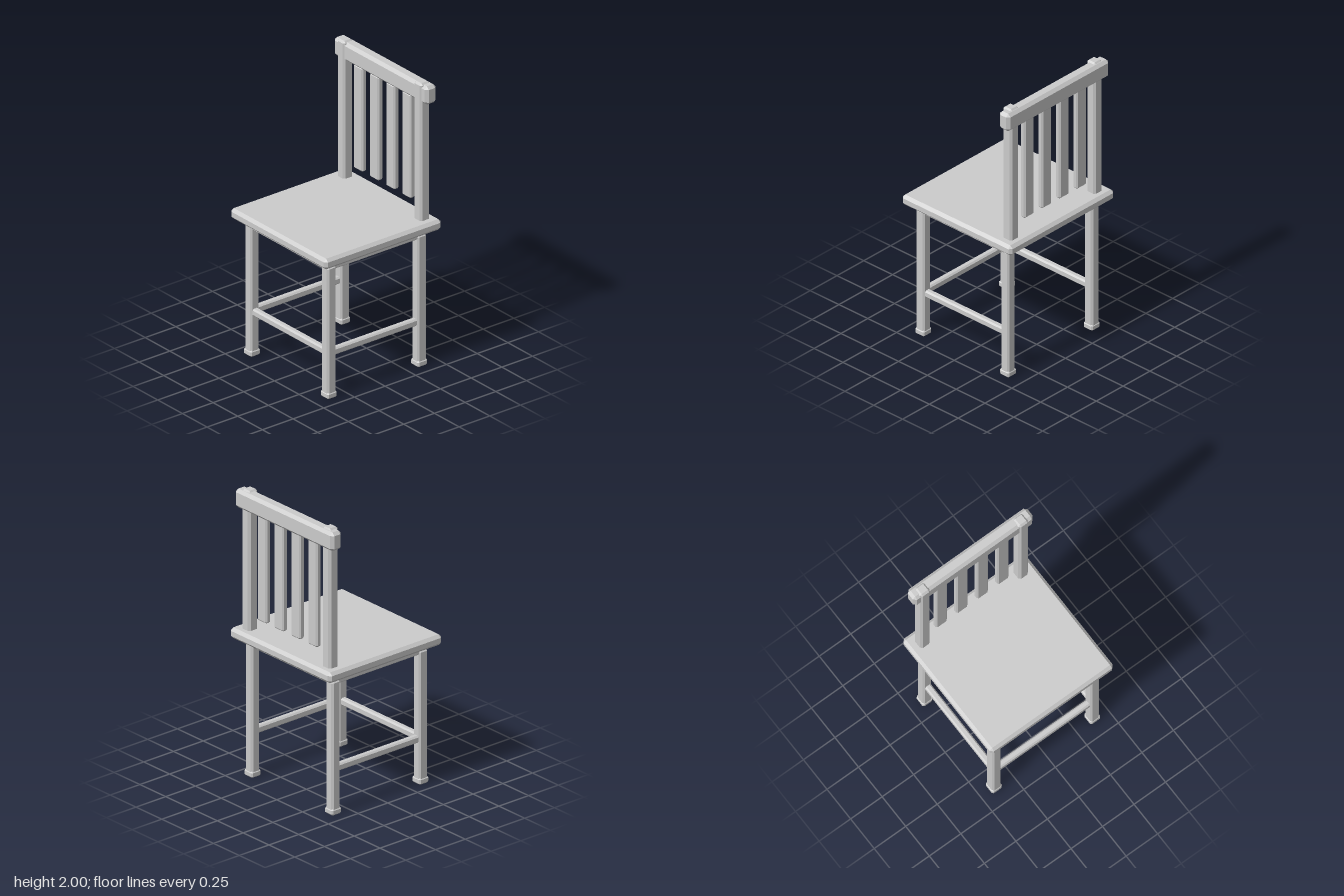
import * as THREE from 'three';
import { ConvexGeometry } from 'three/addons/geometries/ConvexGeometry.js';

const material = new THREE.MeshStandardMaterial({ color: 0xcccccc, flatShading: true });

// Box with bevelled edges, given by its min/max on each axis and the bevel width
function bevelBox(name, [x0, x1], [y0, y1], [z0, z1], bevel) {
  const half = [(x1 - x0) / 2, (y1 - y0) / 2, (z1 - z0) / 2];
  const points = [];
  for (const sx of [-1, 1]) for (const sy of [-1, 1]) for (const sz of [-1, 1]) {
    for (let axis = 0; axis < 3; axis++) {
      const h = half.map((v, i) => (i === axis ? v : v - bevel));
      points.push(new THREE.Vector3(sx * h[0], sy * h[1], sz * h[2]));
    }
  }
  const mesh = new THREE.Mesh(new ConvexGeometry(points), material);
  mesh.name = name;
  mesh.position.set((x0 + x1) / 2, (y0 + y1) / 2, (z0 + z1) / 2);
  return mesh;
}

const around = (centre, size) => [centre - size / 2, centre + size / 2];

export function createModel() {
  const chair = new THREE.Group();
  chair.name = 'chair';
  const add = (...args) => chair.add(bevelBox(...args));

  const legX = 0.39, frontZ = 0.37, backZ = -0.365;

  // Seat and the block beneath it
  add('seat', [-0.488, 0.488], [0.955, 1.03], [-0.478, 0.475], 0.02);
  add('apron', [-0.415, 0.415], [0.9, 0.96], [-0.39, 0.4], 0.008);

  for (const side of [-1, 1]) {
    const label = side > 0 ? 'left' : 'right';
    const x = side * legX;

    // Legs with slightly wider feet
    for (const [end, z] of [['Front', frontZ], ['Back', backZ]]) {
      add(`${label}${end}Leg`, around(x, 0.07), [0.02, 0.93], around(z, 0.072), 0.012);
      add(`${label}${end}Foot`, around(x, 0.08), [0, 0.045], around(z, 0.08), 0.01);
    }

    // Side stretcher and back post
    add(`${label}Stretcher`, around(x, 0.045), [0.288, 0.338], [backZ, frontZ], 0.01);
    add(`${label}BackPost`, around(x, 0.077), [0.94, 2], around(-0.388, 0.078), 0.014);
  }

  // Front stretcher (the back is left open)
  add('frontStretcher', [-legX, legX], [0.288, 0.338], around(frontZ, 0.045), 0.01);

  // Top rail and four hanging slats
  add('topRail', [-0.475, 0.475], [1.86, 1.99], [-0.447, -0.357], 0.02);
  for (let i = 0; i < 4; i++) {
    add(`backSlat${i + 1}`, around((i - 1.5) * 0.163, 0.09), [1.128, 1.865], around(-0.395, 0.042), 0.01);
  }

  return chair;
}
